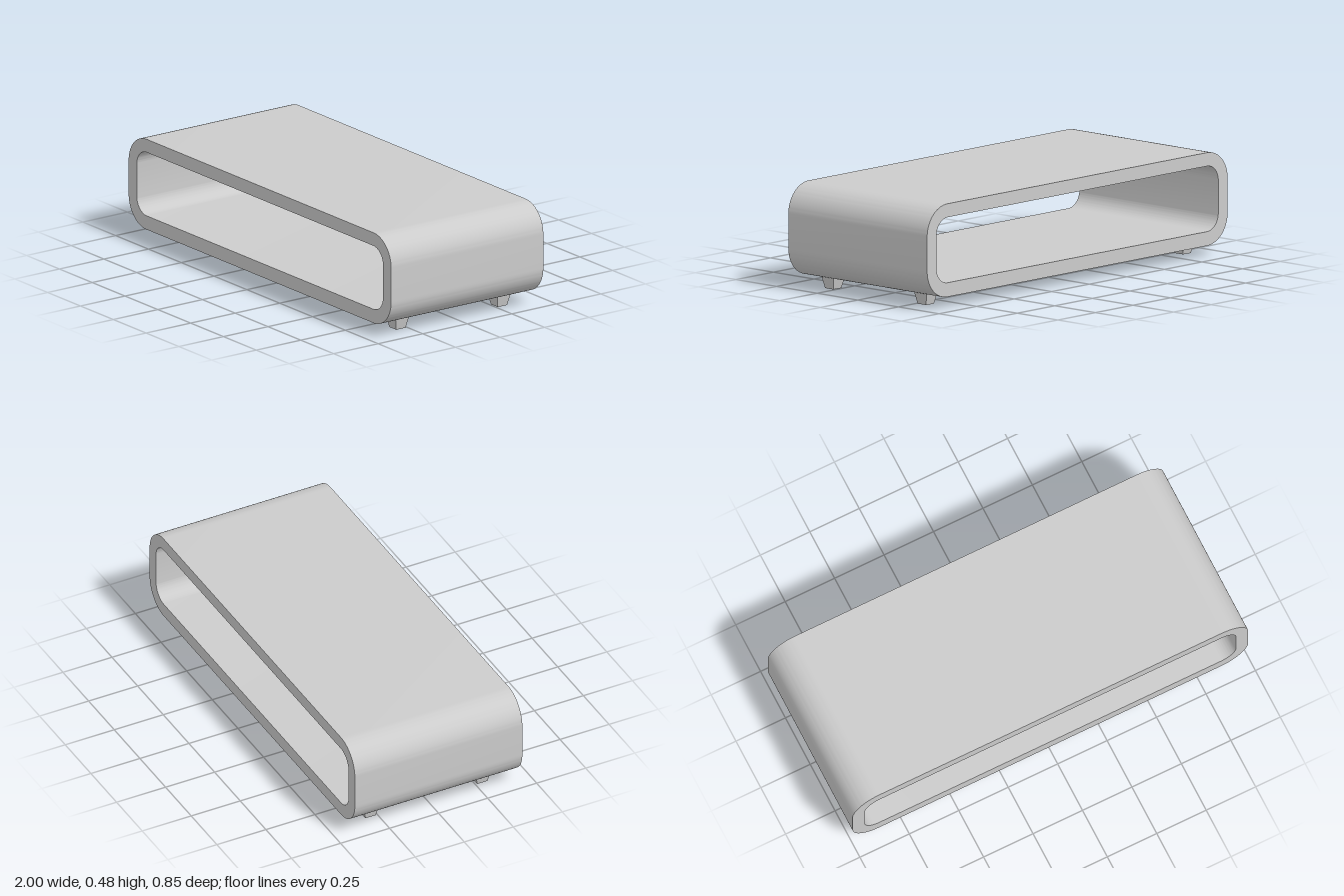
import * as THREE from 'three';
import { toCreasedNormals } from 'three/addons/utils/BufferGeometryUtils.js';

const DEPTH = 0.854;

// Traces a rounded rectangle, centred on x = 0, into a shape or hole
function roundedRect(path, halfWidth, bottom, top, r) {
  const w = halfWidth - r;
  path.moveTo(-w, bottom);
  path.lineTo(w, bottom);
  path.absarc(w, bottom + r, r, -Math.PI / 2, 0, false);
  path.absarc(w, top - r, r, 0, Math.PI / 2, false);
  path.absarc(-w, top - r, r, Math.PI / 2, Math.PI, false);
  path.absarc(-w, bottom + r, r, Math.PI, Math.PI * 1.5, false);
  return path;
}

export function createModel() {
  const model = new THREE.Group();
  model.name = 'openCabinet';
  const material = new THREE.MeshStandardMaterial({ color: 0xcccccc });

  // Hollow body, open at front and back
  const section = roundedRect(new THREE.Shape(), 1, 0.05, 0.478, 0.135);
  section.holes.push(roundedRect(new THREE.Path(), 0.938, 0.115, 0.416, 0.075));
  const shell = new THREE.ExtrudeGeometry(section, {
    depth: DEPTH, bevelEnabled: false, curveSegments: 12,
  });
  shell.translate(0, 0, -DEPTH / 2);
  const body = new THREE.Mesh(toCreasedNormals(shell, 0.6), material);
  body.name = 'body';
  model.add(body);

  // Four square feet, tapering to the ground
  const footHeight = 0.054;
  const footGeometry = toCreasedNormals(
    new THREE.CylinderGeometry(0.075 / Math.SQRT2, 0.052 / Math.SQRT2, footHeight, 4)
      .rotateY(Math.PI / 4), 0.5);
  for (const x of [-1, 1]) {
    for (const z of [-1, 1]) {
      const foot = new THREE.Mesh(footGeometry, material);
      foot.name = (z > 0 ? 'front' : 'back') + (x > 0 ? 'Left' : 'Right') + 'Foot';
      foot.position.set(x * 0.855, footHeight / 2, z * 0.285);
      model.add(foot);
    }
  }
  return model;
}
